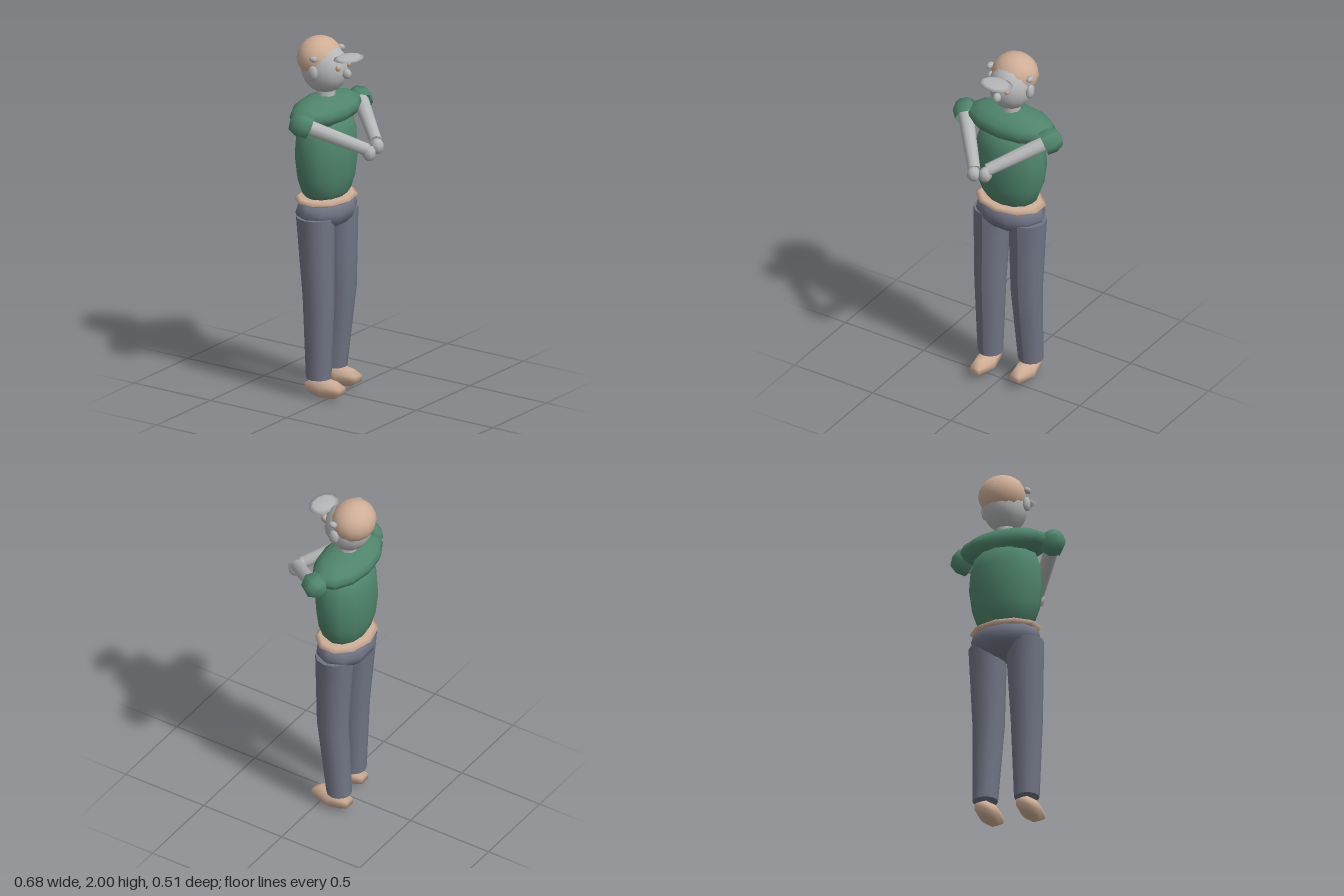
import * as THREE from 'three';

const mat = (name, color, side = THREE.FrontSide) => {
  const m = new THREE.MeshStandardMaterial({ color, side });
  m.name = name;
  return m;
};

export function createModel() {
  const group = new THREE.Group();
  const grey = mat('pale grey', 0xb6b7b8);
  const tan = mat('tan', 0xcfae96);
  const green = mat('shirt green', 0x4f856c, THREE.DoubleSide);
  const blue = mat('trouser blue grey', 0x707484);

  const add = (name, geometry, material, pos = [0, 0, 0]) => {
    const mesh = new THREE.Mesh(geometry, material);
    mesh.name = name;
    mesh.position.set(...pos);
    group.add(mesh);
    return mesh;
  };
  // low-poly ellipsoid: centre, radii, segments
  const blob = (name, material, pos, radii, w = 12, h = 8) => {
    const g = new THREE.SphereGeometry(1, w, h);
    g.scale(...radii);
    return add(name, g, material, pos);
  };
  const lathe = (name, material, profile, sides, depth, z) => {
    const g = new THREE.LatheGeometry(profile.map(p => new THREE.Vector2(...p)), sides);
    g.scale(1, 1, depth);
    return add(name, g, material, [0, 0, z]);
  };

  // head, hair and cap parts
  blob('head', grey, [0, 1.83, -0.1], [0.122, 0.137, 0.132], 14, 10);
  blob('hair', tan, [0, 1.885, -0.135], [0.131, 0.115, 0.12], 14, 10);
  blob('visor', grey, [0, 1.913, 0.057], [0.102, 0.011, 0.073], 10, 4);
  blob('nose', grey, [0, 1.82, 0.045], [0.024, 0.029, 0.028], 6, 5);
  blob('hairButton', grey, [0, 1.93, -0.236], [0.008, 0.012, 0.008], 4, 3);
  lathe('neck', grey, [[0.056, 1.62], [0.05, 1.73]], 10, 1, -0.095);

  // torso
  lathe('shirtBody', green, [[0, 1.07], [0.12, 1.1], [0.165, 1.15], [0.195, 1.23], [0.212, 1.35],
    [0.203, 1.46], [0.17, 1.56], [0, 1.64]], 12, 0.72, -0.09);
  blob('shoulders', green, [0, 1.597, -0.095], [0.27, 0.089, 0.147], 12, 8);
  lathe('belt', tan, [[0, 1.085], [0.18, 1.09], [0.206, 1.104], [0.18, 1.119], [0, 1.122]], 10, 0.74, -0.09);
  blob('hips', blue, [0, 1.04, -0.09], [0.205, 0.108, 0.147], 10, 8);

  for (const s of [-1, 1]) {
    const side = s > 0 ? 'left' : 'right';

    // face and ear details
    blob(side + 'Eye', tan, [s * 0.048, 1.86, 0.02], [0.014, 0.018, 0.016], 6, 5);
    blob(side + 'Ear', grey, [s * 0.126, 1.832, -0.09], [0.02, 0.043, 0.032], 6, 5);
    blob(side + 'CapKnob', grey, [s * 0.127, 1.913, -0.085], [0.02, 0.018, 0.028], 6, 4);

    // forearm reaching inwards to meet at the hands
    const start = new THREE.Vector3(s * 0.26, 1.58, -0.045);
    const end = new THREE.Vector3(s * 0.042, s > 0 ? 1.46 : 1.435, 0.205);
    const dir = end.clone().sub(start);
    const length = dir.length();
    const turn = new THREE.Quaternion().setFromUnitVectors(new THREE.Vector3(0, 1, 0), dir.normalize());
    const arm = add(side + 'Arm', new THREE.CylinderGeometry(0.034, 0.042, length, 10), grey,
      start.clone().lerp(end, 0.5).toArray());
    arm.quaternion.copy(turn);
    blob(side + 'Hand', grey, [s * 0.037, s > 0 ? 1.435 : 1.415, 0.217], [0.038, 0.045, 0.039], 7, 5);

    // open-ended sleeve around the top of the arm
    const profile = [[0, -0.07], [0.05, -0.057], [0.071, -0.01], [0.066, 0.04]];
    const sleeve = add(side + 'Sleeve',
      new THREE.LatheGeometry(profile.map(p => new THREE.Vector2(...p)), 7), green, [s * 0.268, 1.583, -0.062]);
    sleeve.quaternion.copy(turn);

    // slightly bent trouser leg, the right one stepping forward
    const knee = s > 0 ? -0.075 : -0.062;
    const ankle = s > 0 ? -0.115 : -0.062;
    const leg = new THREE.CylinderGeometry(0.104, 0.069, 0.91, 12, 4);
    const p = leg.attributes.position;
    for (let i = 0; i < p.count; i++) {
      const t = 0.5 - p.getY(i) / 0.91;
      const shift = t < 0.5 ? THREE.MathUtils.lerp(-0.085, knee, t * 2)
        : THREE.MathUtils.lerp(knee, ankle, t * 2 - 1);
      p.setZ(i, p.getZ(i) + shift);
    }
    leg.computeVertexNormals();
    add(side + 'TrouserLeg', leg, blue, [s * 0.112, 0.565, 0]);

    // shoe
    blob(side + 'Shoe', tan, [s * 0.112, 0.058, s > 0 ? -0.07 : -0.02], [0.06, 0.056, 0.138], 6, 5);
  }
  return group;
}
